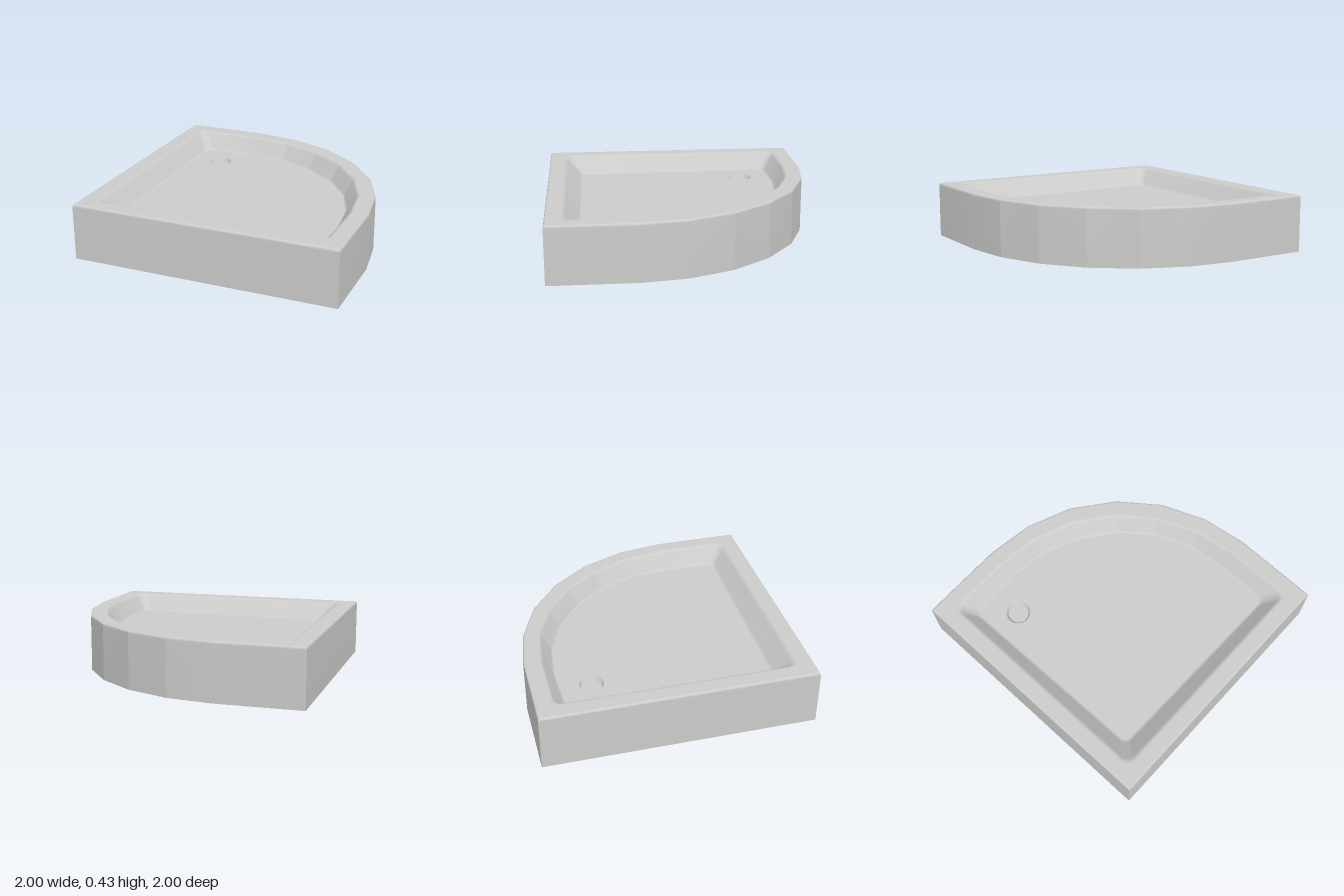
import * as THREE from 'three';
import { toCreasedNormals } from 'three/addons/utils/BufferGeometryUtils.js';

const TOP = 0.425, FLOOR = 0.295, CREASE = 0.21;
const ROUNDED = [0, 8, 9]; // the three square corners
const DRAIN = { x: -0.55, z: -0.55, r: 0.09, inner: 0.074, depth: 0.03 };

// Plan outlines as [x, z], clockwise from the back left corner
const outer = [[-1, -1], [-0.36, -1], [-0.02, -0.95], [0.31, -0.815], [0.595, -0.595],
  [0.815, -0.31], [0.95, 0.02], [1, 0.36], [1, 1], [-1, 1]];
const inner = [[-0.87, -0.87], [-0.38, -0.87], [-0.06, -0.83], [0.24, -0.71], [0.5, -0.51],
  [0.7, -0.25], [0.825, 0.05], [0.87, 0.37], [0.87, 0.87], [-0.87, 0.87]];
const base = [[-0.775, -0.775], [-0.37, -0.79], [-0.07, -0.75], [0.2, -0.635], [0.455, -0.445],
  [0.635, -0.21], [0.745, 0.065], [0.785, 0.38], [0.775, 0.765], [-0.75, 0.74]];

// Rounds the square corners; every outline gets the same number of points
function roundCorners(points, radius, steps = 8) {
  const pts = points.map(p => new THREE.Vector2(...p));
  return pts.flatMap((p, i) => {
    if (!ROUNDED.includes(i)) return [p];
    const toward = q => p.clone().add(q.clone().sub(p).setLength(radius));
    const a = toward(pts.at(i - 1)), b = toward(pts[(i + 1) % pts.length]);
    const centre = a.clone().add(b).sub(p);
    return Array.from({ length: steps + 1 }, (_, k) => {
      const t = k / steps * Math.PI / 2;
      return centre.clone()
        .addScaledVector(a.clone().sub(centre), Math.cos(t))
        .addScaledVector(b.clone().sub(centre), Math.sin(t));
    });
  });
}

const ring = (outline, y, scale = 1) =>
  outline.map(p => new THREE.Vector3(p.x * scale, y, p.y * scale));
const mixRings = (a, b, t) => a.map((p, i) => p.clone().lerp(b[i], t));

// Soft edge: quadratic curve from ring a to ring c around ring b
function softEdge(a, b, c, steps) {
  return Array.from({ length: steps + 1 }, (_, k) => {
    const t = k / steps;
    return mixRings(mixRings(a, b, t), mixRings(b, c, t), t);
  });
}

// Skin of quads over a stack of closed rings
function loft(rings) {
  const n = rings[0].length, index = [];
  for (let r = 0; r < rings.length - 1; r++) {
    for (let i = 0; i < n; i++) {
      const j = (i + 1) % n;
      const a = r * n + i, b = r * n + j, c = a + n, d = b + n;
      index.push(a, c, b, b, c, d);
    }
  }
  const geometry = new THREE.BufferGeometry().setFromPoints(rings.flat());
  geometry.setIndex(index);
  return toCreasedNormals(geometry, CREASE);
}

export function createModel() {
  const group = new THREE.Group();
  group.name = 'showerTray';
  const acrylic = new THREE.MeshStandardMaterial({ color: 0xcbcbc9 });
  acrylic.name = 'pale grey acrylic';
  const add = (name, geometry) => {
    const mesh = new THREE.Mesh(geometry, acrylic);
    mesh.name = name;
    group.add(mesh);
    return mesh;
  };

  const outside = roundCorners(outer, 0);
  const lip = roundCorners(inner, 0.065);
  const floorEdge = roundCorners(base, 0.055);

  // Outer skirt with a rounded top edge
  const bevel = 0.02;
  const skirtTop = ring(outside, TOP), lipTop = ring(lip, TOP);
  const outerEdge = softEdge(ring(outside, TOP - bevel), skirtTop, ring(outside, TOP, 1 - bevel), 8);
  add('skirt', loft([ring(outside, 0), ring(outside, TOP - bevel - 0.002), ...outerEdge]));

  // Flat rim
  add('rim', loft([ring(outside, TOP, 1 - bevel), ring(lip, TOP, 1.018)]));

  // Sloping basin wall, softened where it meets rim and floor
  const floorRing = ring(floorEdge, FLOOR);
  add('basinWall', loft([
    ...softEdge(ring(lip, TOP, 1.018), lipTop, mixRings(lipTop, floorRing, 0.14), 6),
    ...softEdge(mixRings(lipTop, floorRing, 0.9), floorRing, ring(floorEdge, FLOOR, 0.985), 5),
  ]));

  // Basin floor with the drain opening
  const floorShape = new THREE.Shape(floorEdge.map(p => new THREE.Vector2(p.x * 0.985, -p.y * 0.985)));
  floorShape.holes.push(new THREE.Path(Array.from({ length: 32 }, (_, i) => {
    const t = i / 32 * Math.PI * 2;
    return new THREE.Vector2(DRAIN.x + DRAIN.r * Math.cos(t), -DRAIN.z + DRAIN.r * Math.sin(t));
  })));
  add('basinFloor', new THREE.ShapeGeometry(floorShape).rotateX(-Math.PI / 2).translate(0, FLOOR, 0));

  // Recessed drain
  const cup = [[DRAIN.r, 0], [DRAIN.inner, -DRAIN.depth], [0, -DRAIN.depth]]
    .map(p => new THREE.Vector2(...p));
  add('drain', toCreasedNormals(new THREE.LatheGeometry(cup, 32), 0.5))
    .position.set(DRAIN.x, FLOOR, DRAIN.z);

  // Flat underside
  const under = new THREE.Shape(outer.map(p => new THREE.Vector2(...p)));
  add('underside', new THREE.ShapeGeometry(under).rotateX(Math.PI / 2));

  return group;
}
